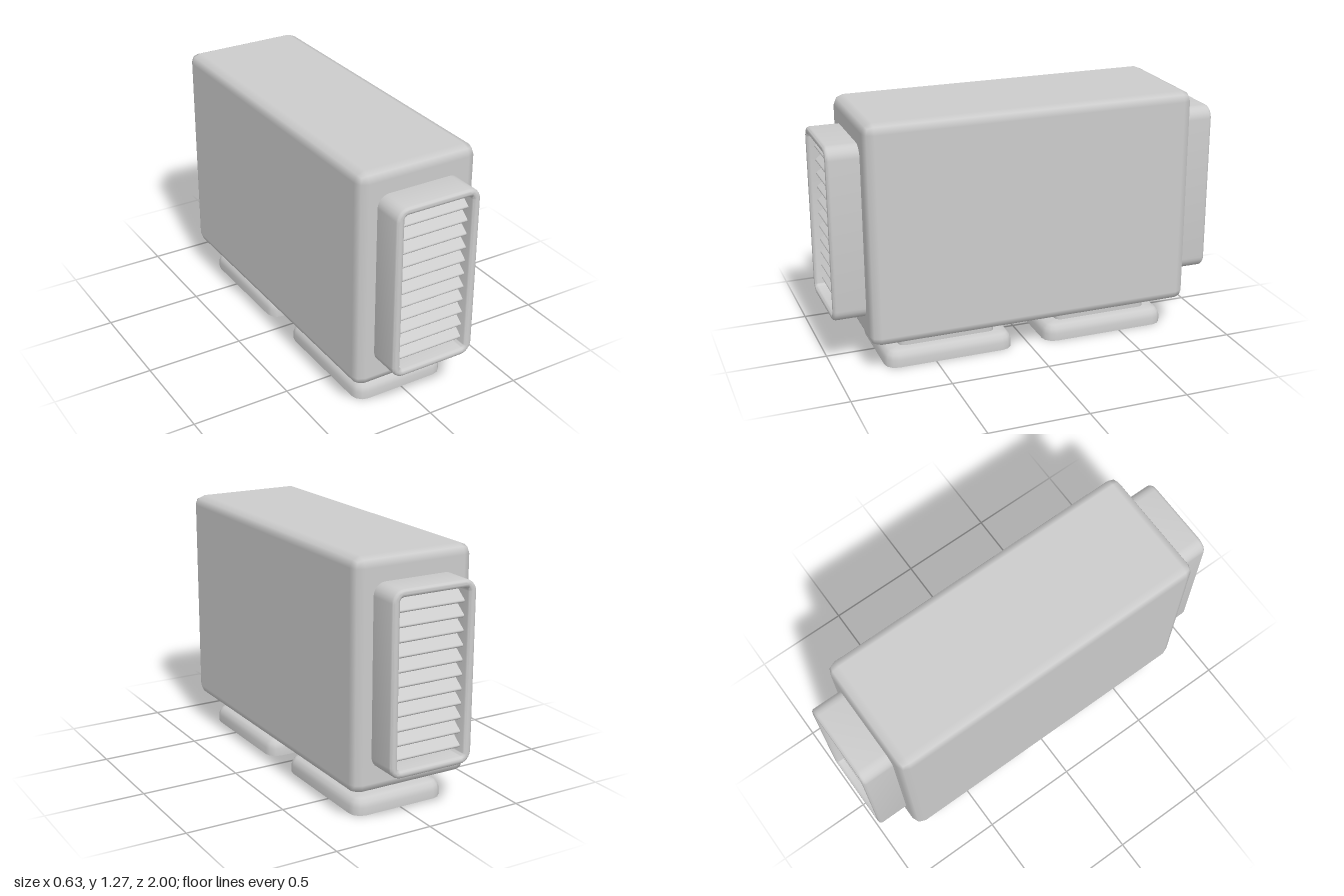
import * as THREE from 'three';
import { toCreasedNormals } from 'three/addons/utils/BufferGeometryUtils.js';
import { RoundedBoxGeometry } from 'three/addons/geometries/RoundedBoxGeometry.js';

const grey = new THREE.MeshStandardMaterial({ color: 0xcccccc });
const greyDouble = new THREE.MeshStandardMaterial({ color: 0xcccccc, side: THREE.DoubleSide });

function addMesh(parent, name, geometry, material = grey) {
  const mesh = new THREE.Mesh(geometry, material);
  mesh.name = name;
  parent.add(mesh);
  return mesh;
}

// Rounded rectangle centred on the origin, as a Shape or a hole Path
function roundedRect(Type, w, h, r) {
  const x = w / 2 - r, y = h / 2 - r;
  const p = new Type();
  p.moveTo(x + r, -y);
  p.absarc(x, y, r, 0, Math.PI / 2);
  p.absarc(-x, y, r, Math.PI / 2, Math.PI);
  p.absarc(-x, -y, r, Math.PI, Math.PI * 1.5);
  p.absarc(x, -y, r, Math.PI * 1.5, Math.PI * 2);
  return p;
}

// Rounded-rectangle rings [inset, y] stacked upwards, closed on top, open below
function openShell(w, d, r, rings) {
  const steps = 3, n = 4 * (steps + 1);
  const pos = [], index = [];
  for (const [inset, y] of rings) {
    const rr = Math.max(r - inset, 0.012);
    for (let c = 0; c < 4; c++) {
      const sx = c === 0 || c === 3 ? 1 : -1, sz = c < 2 ? -1 : 1;
      for (let s = 0; s <= steps; s++) {
        const a = (c + s / steps) * Math.PI / 2;
        pos.push(sx * (w / 2 - inset - rr) + rr * Math.cos(a), y,
          sz * (d / 2 - inset - rr) - rr * Math.sin(a));
      }
    }
  }
  const last = (rings.length - 1) * n;
  pos.push(0, rings[rings.length - 1][1], 0);
  for (let j = 0; j < n; j++) {
    const k = (j + 1) % n;
    for (let i = 0; i < last; i += n) {
      index.push(i + j, i + k, i + n + k, i + j, i + n + k, i + n + j);
    }
    index.push(last + n, last + j, last + k);
  }
  const g = new THREE.BufferGeometry();
  g.setAttribute('position', new THREE.Float32BufferAttribute(pos, 3));
  g.setIndex(index);
  return toCreasedNormals(g, 0.8);
}

// Louvred vent facing +z, its rim ending at z = 1
function makeVent(name) {
  const vent = new THREE.Group();
  vent.name = name;
  const bevel = 0.016;
  const shape = roundedRect(THREE.Shape, 0.444 - 2 * bevel, 0.88 - 2 * bevel, 0.045);
  shape.holes.push(roundedRect(THREE.Path, 0.364 + 2 * bevel, 0.806 + 2 * bevel, 0.035));
  const frame = new THREE.ExtrudeGeometry(shape, {
    depth: 0.17, bevelEnabled: true, bevelThickness: bevel, bevelSize: bevel,
    bevelSegments: 3, curveSegments: 3,
  });
  frame.translate(0, 0.712, 1 - 0.17 - bevel);
  addMesh(vent, 'ventFrame', toCreasedNormals(frame, 0.9));

  // Slats slope down towards the outside
  const slat = new RoundedBoxGeometry(0.38, 0.016, 0.116, 2, 0.0075);
  for (let i = 0; i < 11; i++) {
    const m = addMesh(vent, 'ventSlat', slat);
    m.position.set(0, 0.381 + i * 0.0695, 0.915);
    m.rotation.x = 0.68;
  }
  return vent;
}

export function createModel() {
  const model = new THREE.Group();
  model.name = 'ventilationUnit';

  // Main casing
  const body = addMesh(model, 'body', new RoundedBoxGeometry(0.63, 1.12, 1.68, 1, 0.05));
  body.position.y = 0.71;

  // Vents at both ends
  const backVent = makeVent('backVent');
  backVent.rotation.y = Math.PI;
  model.add(makeVent('frontVent'), backVent);

  // Two hollow feet, each with a neck up to the casing
  const footGeometry = openShell(0.5, 0.665, 0.06,
    [[0, 0], [0, 0.038], [0.007, 0.062], [0.024, 0.079], [0.048, 0.085]]);
  const neckGeometry = openShell(0.375, 0.5, 0.03, [[0, 0.084], [0, 0.16]]);
  for (const [side, z] of [['front', 0.42], ['back', -0.42]]) {
    addMesh(model, side + 'Foot', footGeometry, greyDouble).position.z = z;
    addMesh(model, side + 'Neck', neckGeometry, greyDouble).position.z = z;
  }
  return model;
}
